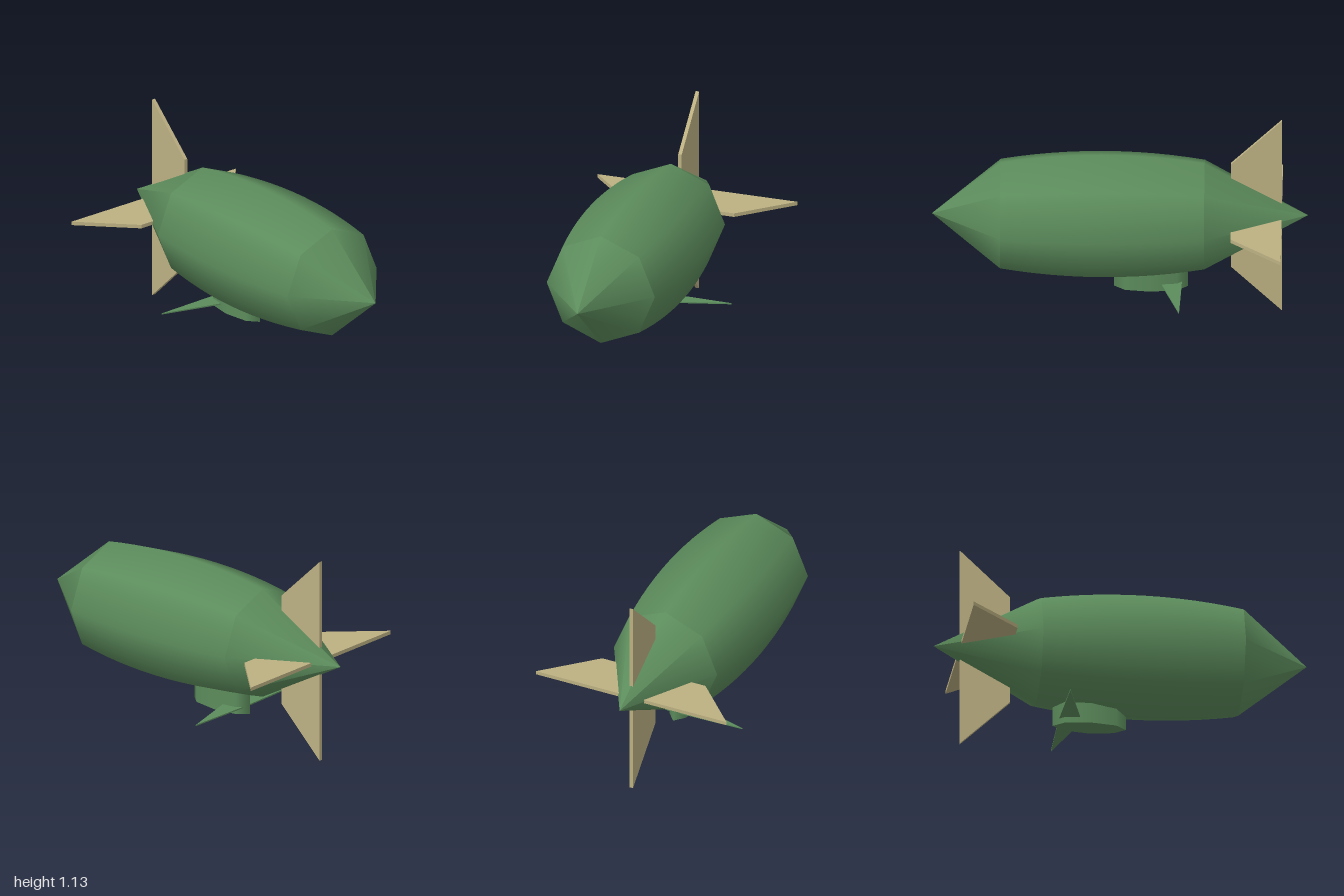
import * as THREE from 'three';

const AXIS_Y = 0.566;
const green = new THREE.MeshStandardMaterial({ color: 0x5c8c5c });
const cream = new THREE.MeshStandardMaterial({ color: 0xbcb082 });

function addMesh(parent, name, geometry, material) {
  const mesh = new THREE.Mesh(geometry, material);
  mesh.name = name;
  parent.add(mesh);
  return mesh;
}

// Eight-sided section of the envelope; profile of [radius, z] running from tail to nose
function envelopeSection(profile) {
  const points = profile.map(([r, z]) => new THREE.Vector2(r, z));
  return new THREE.LatheGeometry(points, 8).rotateX(Math.PI / 2);
}

// Flat horizontal plate from an [x, z] outline, centred on y = 0
function plate(outline, thickness) {
  const shape = new THREE.Shape(outline.map(([x, z]) => new THREE.Vector2(x, z)));
  return new THREE.ExtrudeGeometry(shape, { depth: thickness, bevelEnabled: false })
    .translate(0, 0, -thickness / 2)
    .rotateX(Math.PI / 2);
}

export function createModel() {
  const model = new THREE.Group();
  model.name = 'airship';

  // Envelope: pointed nose, gently bulging hull, long tail cone
  const envelope = new THREE.Group();
  envelope.name = 'envelope';
  envelope.position.y = AXIS_Y;
  model.add(envelope);

  const hullBack = -0.45, hullFront = 0.635, endRadius = 0.306;
  const hull = [];
  for (let i = 0; i <= 12; i++) {
    const t = i / 12;
    hull.push([endRadius + 0.046 * 4 * t * (1 - t), THREE.MathUtils.lerp(hullBack, hullFront, t)]);
  }
  addMesh(envelope, 'hull', envelopeSection(hull), green);
  addMesh(envelope, 'nose', envelopeSection([[endRadius, hullFront], [0, 1]]), green);
  addMesh(envelope, 'tailCone', envelopeSection([[0, -1], [endRadius, hullBack]]), green);

  // Crossed tail fins
  const finOutline = [[-0.565, -0.86], [0.565, -0.86], [0.306, -0.59], [-0.306, -0.59]];
  for (const [name, angle] of [['horizontalFins', 0], ['verticalFins', Math.PI / 2]]) {
    const fin = addMesh(model, name, plate(finOutline, 0.02), cream);
    fin.position.y = AXIS_Y;
    fin.rotation.z = angle;
  }

  // Gondola: stretched eight-sided drum under the hull
  const gondola = addMesh(model, 'gondola', new THREE.CylinderGeometry(1, 1, 0.2, 8), green);
  gondola.scale.set(0.069, 1, 0.196);
  gondola.position.set(0, 0.238, -0.165);

  // Thin swept wings on the gondola
  for (const side of [-1, 1]) {
    const outline = [[side * 0.02, -0.21], [side * 0.02, -0.33], [side * 0.39, -0.318]];
    const wing = addMesh(model, side > 0 ? 'leftWing' : 'rightWing', plate(outline, 0.007), green);
    wing.position.y = 0.174;
  }

  return model;
}
